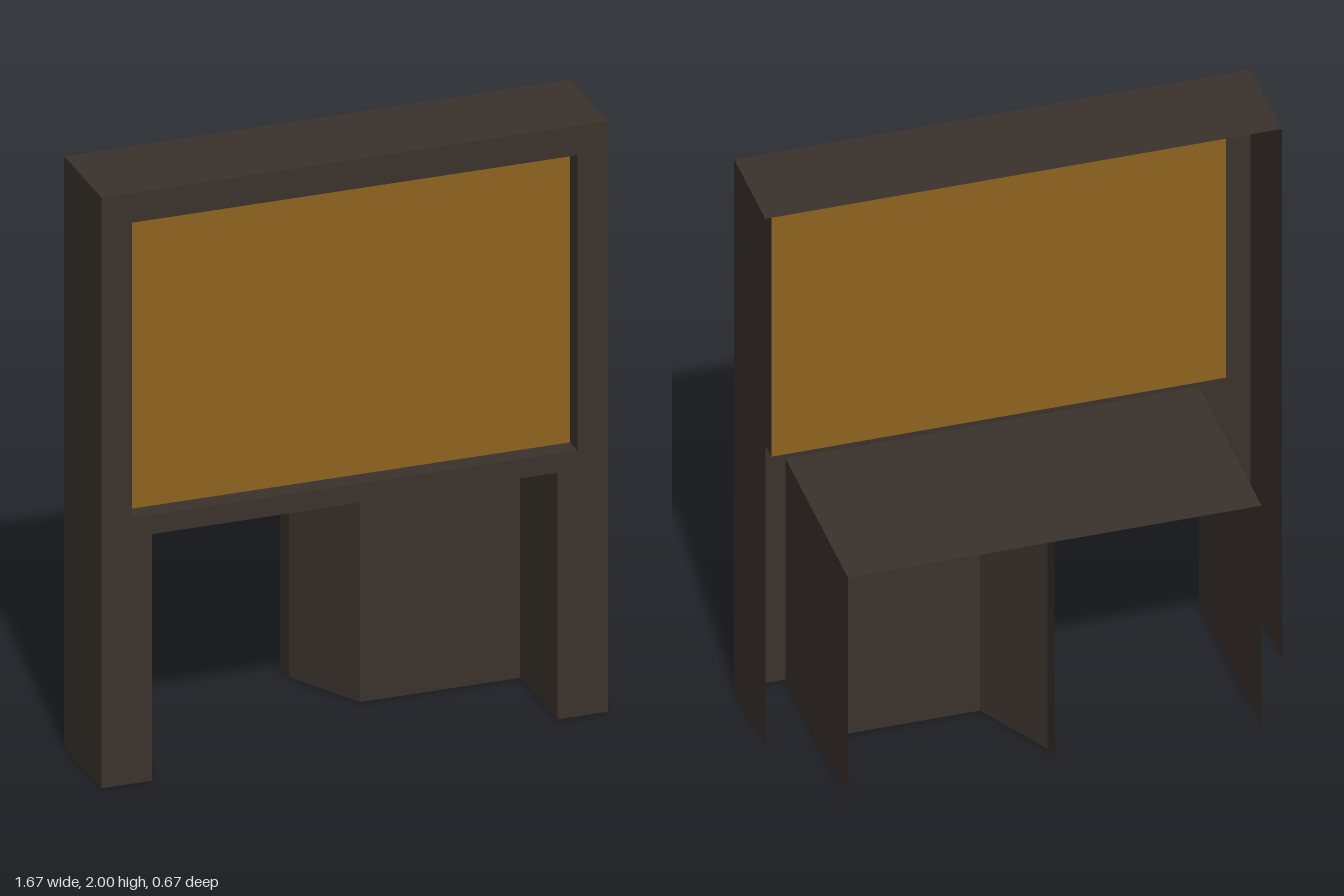
import * as THREE from 'three';

const frameMat = new THREE.MeshStandardMaterial({ color: 0x3a322c, side: THREE.DoubleSide });
const boardMat = new THREE.MeshStandardMaterial({ color: 0x8f641f, side: THREE.DoubleSide });

// Main dimensions
const W = 0.833, H = 2, D = 0.333;       // half width, height, front depth
const DESK_W = 0.667, DESK_H = 0.835;    // desk half width and height
const WIN_W = 0.733, WIN_LO = 0.9, WIN_HI = 1.9, RECESS = 0.066;

function add(parent, name, geometry, material = frameMat) {
  const mesh = new THREE.Mesh(geometry, material);
  mesh.name = name;
  parent.add(mesh);
  return mesh;
}

// Upright sheet from y0 to y1 following a plan path of [x, z] points
function wall(path, y0, y1) {
  const pos = [];
  for (let i = 0; i < path.length - 1; i++) {
    const [ax, az] = path[i], [bx, bz] = path[i + 1];
    pos.push(ax, y0, az, bx, y0, bz, bx, y1, bz, ax, y0, az, bx, y1, bz, ax, y1, az);
  }
  const g = new THREE.BufferGeometry();
  g.setAttribute('position', new THREE.Float32BufferAttribute(pos, 3));
  g.computeVertexNormals();
  return g;
}

// Level sheet centred on x = 0
function slab(halfWidth, z0, z1, y) {
  return new THREE.PlaneGeometry(2 * halfWidth, z1 - z0).rotateX(-Math.PI / 2).translate(0, y, (z0 + z1) / 2);
}

export function createModel() {
  const model = new THREE.Group();
  model.name = 'displayBooth';

  // Front sheet: two legs, a window and a knee opening
  const front = new THREE.Shape([
    [-W, 0], [-DESK_W, 0], [-DESK_W, DESK_H], [DESK_W, DESK_H],
    [DESK_W, 0], [W, 0], [W, H], [-W, H],
  ].map(([x, y]) => new THREE.Vector2(x, y)));
  front.holes.push(new THREE.Path([
    [-WIN_W, WIN_LO], [-WIN_W, WIN_HI], [WIN_W, WIN_HI], [WIN_W, WIN_LO],
  ].map(([x, y]) => new THREE.Vector2(x, y))));
  add(model, 'frontFrame', new THREE.ShapeGeometry(front).translate(0, 0, D));

  // Outer shell, open at the back and bottom
  add(model, 'topPanel', slab(W, 0, D, H));

  // Recessed board and its reveal
  const zBoard = D - RECESS;
  add(model, 'board', new THREE.PlaneGeometry(2 * WIN_W, WIN_HI - WIN_LO)
    .translate(0, (WIN_LO + WIN_HI) / 2, zBoard), boardMat);
  for (const [name, y] of [['revealBottom', WIN_LO], ['revealTop', WIN_HI]]) {
    add(model, name, slab(WIN_W, zBoard, D, y));
  }

  // Desk top behind the front sheet
  add(model, 'deskTop', slab(DESK_W, -D, D, DESK_H));

  // Mirrored side sheets
  for (const [side, s] of [['left', 1], ['right', -1]]) {
    add(model, side + 'SidePanel', wall([[s * W, D], [s * W, 0]], 0, H));
    add(model, side + 'Reveal', wall([[s * WIN_W, D], [s * WIN_W, zBoard]], WIN_LO, WIN_HI));
    add(model, side + 'DeskPanel', wall([[s * DESK_W, D], [s * DESK_W, -D]], 0, DESK_H));
  }

  // Angled partition under the desk
  add(model, 'partition', wall([[DESK_W, 0], [0.14, 0], [0, -0.255], [0, -D]], 0, DESK_H));

  return model;
}
